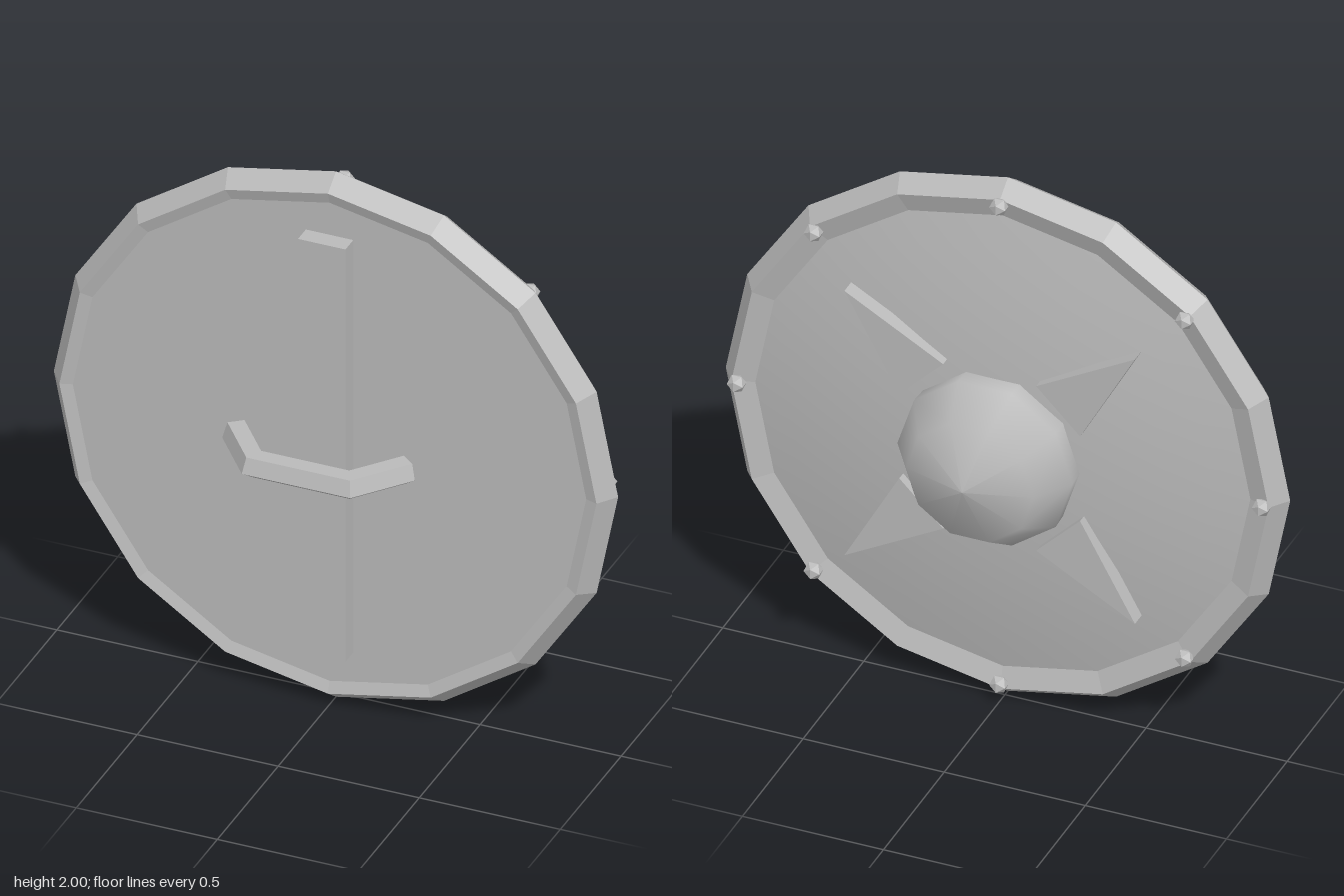
import * as THREE from 'three';

export function createModel() {
  const model = new THREE.Group();
  const grey = new THREE.MeshStandardMaterial({ color: 0xbababa });
  grey.name = 'grey';

  function add(name, geometry, x = 0, y = 1, z = 0) {
    const mesh = new THREE.Mesh(geometry, grey);
    mesh.name = name;
    mesh.position.set(x, y, z);
    model.add(mesh);
    return mesh;
  }
  function flat(geometry) {
    const g = geometry.index ? geometry.toNonIndexed() : geometry;
    g.computeVertexNormals();
    return g;
  }
  // Lathe whose axis points to the back; profile points are [radius, depth behind z = 0]
  function backLathe(profile, sides) {
    const pts = profile.map(([r, d]) => new THREE.Vector2(r, d));
    return new THREE.LatheGeometry(pts, sides, Math.PI / 2).rotateX(-Math.PI / 2);
  }

  // Rim: 16-sided ring with a five-sided section
  add('rim', flat(new THREE.TorusGeometry(0.93, 0.07, 5, 16)), 0, 1, 0.025);

  // Flat inner face and shallow domed outer face
  add('innerFace', new THREE.CircleGeometry(0.92, 16), 0, 1, 0.078);
  const dome = [0.9, 0.76, 0.6, 0.45, 0.3, 0.15, 0].map(r => [r, 0.11 - 0.12 * r * r]);
  add('domedFace', backLathe(dome, 16));

  // Central boss
  add('boss', backLathe([[0.305, 0.07], [0.31, 0.165], [0.225, 0.29], [0, 0.355]], 10));

  // Rivets around the rim
  for (let i = 0; i < 8; i++) {
    const a = i * Math.PI / 4;
    add('rivet', new THREE.IcosahedronGeometry(0.033, 0),
      0.93 * Math.cos(a), 1 + 0.93 * Math.sin(a), -0.048);
  }

  // Four pointed plates on the diagonals
  const plate = new THREE.Shape([
    new THREE.Vector2(0.343, -0.11), new THREE.Vector2(0.728, 0), new THREE.Vector2(0.343, 0.11),
  ]);
  const plateGeometry = new THREE.ExtrudeGeometry(plate, { depth: 0.056, bevelEnabled: false });
  for (let i = 0; i < 4; i++) {
    add('pointedPlate', plateGeometry, 0, 1, -0.126).rotation.z = Math.PI / 4 + i * Math.PI / 2;
  }

  // Vertical brace on the inner face
  add('brace', new THREE.BoxGeometry(0.168, 1.57, 0.075), 0, 1.003, 0.105);

  // Bent grip: five-sided section swept through mitred stations [x, z, mitre x, mitre z]
  const half = [[0.17, 0.307, 0.48, 1], [0.305, 0.14, 0.78, 0.62]];
  const stations = [
    ...half.slice().reverse().map(([x, z, mx, mz]) => [-x, z, -mx, mz]), ...half,
  ];
  const sides = 5, r = 0.049, positions = [], index = [];
  for (const [x, z, mx, mz] of stations) {
    for (let j = 0; j < sides; j++) {
      const a = -Math.PI / 10 + j * 2 * Math.PI / sides;
      const out = r * Math.cos(a);
      positions.push(x + mx * out, r * Math.sin(a), z + mz * out);
    }
  }
  const last = (stations.length - 1) * sides;
  for (let i = 0; i < last; i += sides) {
    for (let j = 0; j < sides; j++) {
      const k = (j + 1) % sides;
      index.push(i + j, i + sides + j, i + sides + k, i + j, i + sides + k, i + k);
    }
  }
  for (let j = 1; j < sides - 1; j++) {
    index.push(0, j, j + 1, last, last + j + 1, last + j);
  }
  const grip = new THREE.BufferGeometry();
  grip.setAttribute('position', new THREE.Float32BufferAttribute(positions, 3));
  grip.setIndex(index);
  add('grip', flat(grip));

  return model;
}
